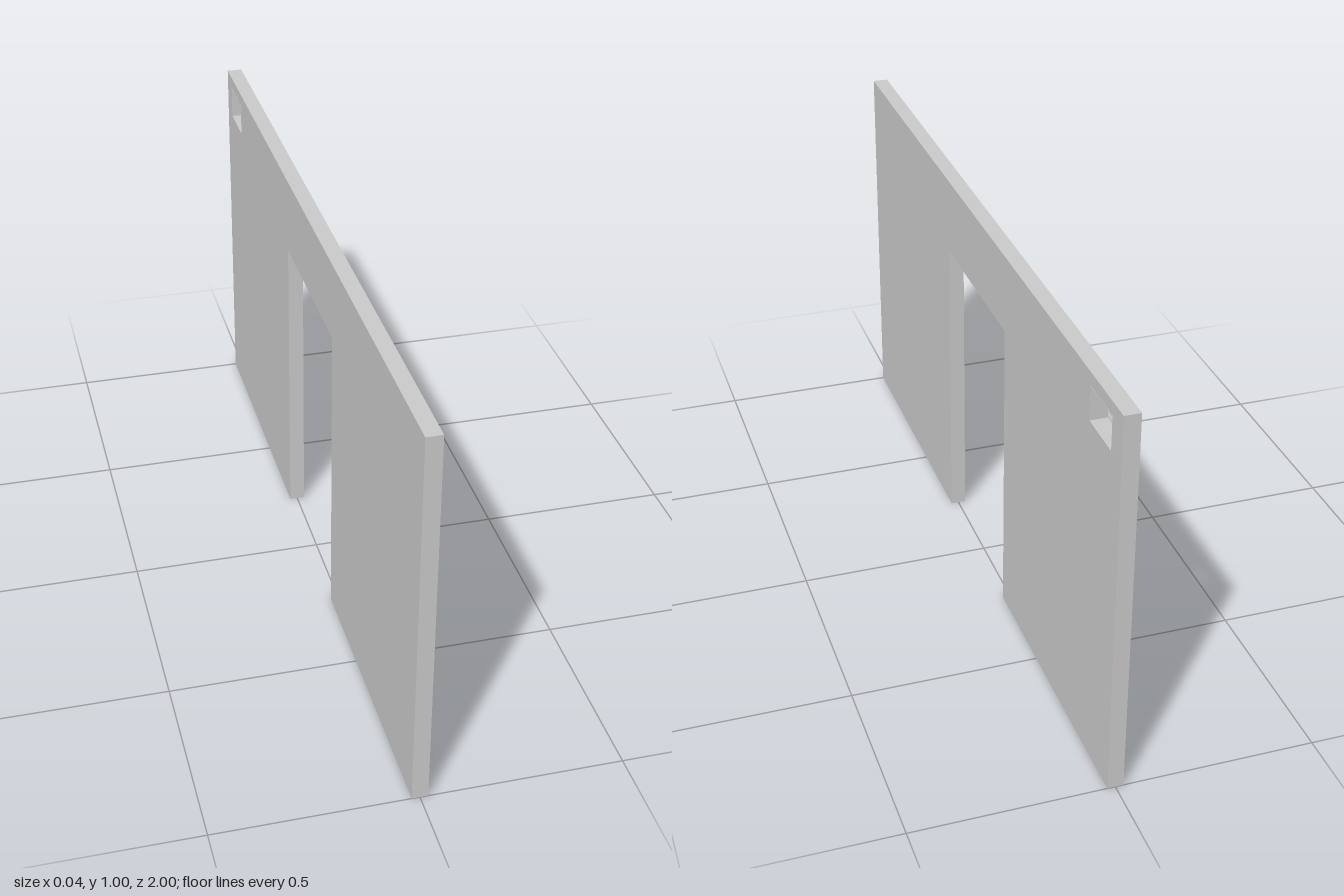
import * as THREE from 'three';

const material = new THREE.MeshStandardMaterial({ color: 0xcccccc, flatShading: true });

// Closed rectangular path in the wall plane (z, y)
function rect(PathType, z0, z1, y0, y1) {
  const p = new PathType();
  p.moveTo(z0, y0);
  p.lineTo(z1, y0);
  p.lineTo(z1, y1);
  p.lineTo(z0, y1);
  p.closePath();
  return p;
}

// Extrude a (z, y) outline into a slab centred on x = 0
function slab(name, shape, thickness) {
  const geometry = new THREE.ExtrudeGeometry(shape, { depth: thickness, bevelEnabled: false });
  geometry.translate(0, 0, -thickness / 2);
  geometry.rotateY(-Math.PI / 2);
  const mesh = new THREE.Mesh(geometry, material);
  mesh.name = name;
  return mesh;
}

export function createModel() {
  const group = new THREE.Group();
  group.name = 'wallWithDoorway';

  // Wall with a doorway cut up from the floor
  const outline = [[-1, 0], [-0.23, 0], [-0.23, 0.8], [0.24, 0.8], [0.24, 0], [1, 0], [1, 1], [-1, 1]];
  const wall = new THREE.Shape(outline.map(([z, y]) => new THREE.Vector2(z, y)));
  wall.holes.push(rect(THREE.Path, -0.947, -0.809, 0.877, 0.967));
  group.add(slab('wall', wall, 0.04));

  // Slim frame lining the small window, barely proud of both faces
  const frame = rect(THREE.Shape, -0.947, -0.809, 0.877, 0.967);
  frame.holes.push(rect(THREE.Path, -0.942, -0.813, 0.882, 0.964));
  group.add(slab('windowFrame', frame, 0.042));

  return group;
}
